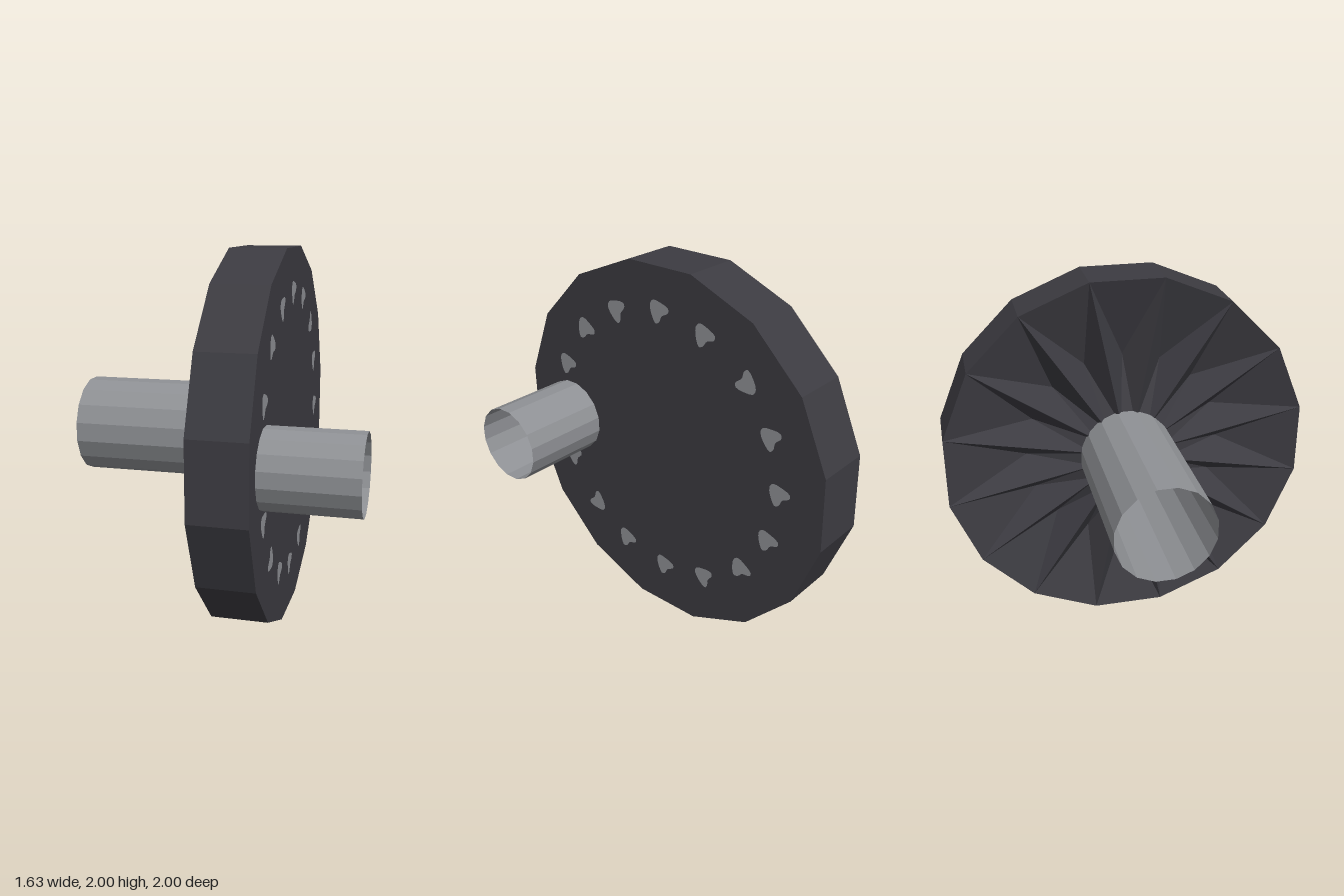
import * as THREE from 'three';

const SIDES = 16;
const STEP = (Math.PI * 2) / SIDES;
const RIM = 1 / Math.cos(STEP / 2);
const BACK = 0.035, FRONT = 0.333;

export function createModel() {
  const group = new THREE.Group();
  const darkIron = new THREE.MeshStandardMaterial({ color: 0x3c3b41, flatShading: true, side: THREE.DoubleSide });
  darkIron.name = 'darkIron';
  const steel = new THREE.MeshStandardMaterial({ color: 0x8f9195, flatShading: true, side: THREE.DoubleSide });
  steel.name = 'steel';

  const add = (name, geometry, material, x = 0, y = 1, z = 0) => {
    const mesh = new THREE.Mesh(geometry, material);
    mesh.name = name;
    mesh.position.set(x, y, z);
    group.add(mesh);
    return mesh;
  };

  // Open sixteen-sided tube along x, with a flat facing up
  const tube = (name, radius, x0, x1, y, z, material) => {
    const geo = new THREE.CylinderGeometry(radius, radius, x1 - x0, SIDES, 1, true, STEP / 2);
    geo.rotateZ(-Math.PI / 2);
    return add(name, geo, material, (x0 + x1) / 2, y, z);
  };

  tube('wheelRim', RIM, BACK, FRONT, 1, 0, darkIron);
  tube('driveShaft', 0.261, -0.815, 0.2, 1.004, -0.004, steel);
  tube('crankPin', 0.204, FRONT, 0.813, 1, 0.684, steel);

  // Flat outer face of the wheel
  const face = new THREE.CircleGeometry(RIM, SIDES, STEP / 2);
  face.rotateY(Math.PI / 2);
  add('wheelFace', face, darkIron, FRONT);

  // Pleated inner face: sharp ridges to each rim corner, hollows between them
  const polar = (r, a, x) => [x, r * Math.cos(a), r * Math.sin(a)];
  const points = [];
  for (let i = 0; i < SIDES; i++) {
    const a = (i + 0.5) * STEP, b = a + STEP;
    const v0 = polar(RIM, a, BACK), v1 = polar(RIM, b, BACK);
    const h0 = polar(0.2, a, BACK), h1 = polar(0.2, b, BACK);
    const p = polar(0.55, (a + b) / 2, 0.19);
    points.push(...v1, ...v0, ...p, ...v0, ...h0, ...p, ...v1, ...p, ...h1, ...h0, ...h1, ...p);
  }
  const pleats = new THREE.BufferGeometry();
  pleats.setAttribute('position', new THREE.Float32BufferAttribute(points, 3));
  pleats.computeVertexNormals();
  add('pleatedBack', pleats, darkIron);

  // Ring of small rounded, three-lobed spots on the outer face
  const outline = [[-0.06, 0.03], [-0.04, 0.056], [0.005, 0.052], [0.06, 0.03], [0.058, 0.006],
    [0.016, -0.018], [0, -0.05], [-0.025, -0.064], [-0.048, -0.03]];
  const curve = new THREE.CatmullRomCurve3(outline.map(([u, v]) => new THREE.Vector3(u, v, 0)), true);
  const spot = new THREE.ShapeGeometry(new THREE.Shape(curve.getPoints(24).map((p) => new THREE.Vector2(p.x, p.y))));
  const turns = [0, 10, 170, -15, 0, 6, 20, -23];
  const spots = new THREE.Group();
  spots.name = 'spots';
  for (let i = 0; i < SIDES; i++) {
    const geo = spot.clone();
    geo.rotateZ(-THREE.MathUtils.degToRad(turns[i % 8]));
    geo.rotateY(Math.PI / 2);
    const mesh = new THREE.Mesh(geo, steel);
    mesh.name = 'spot';
    mesh.position.set(FRONT + 0.003, 1.015 + 0.755 * Math.cos(i * STEP), 0.003 - 0.755 * Math.sin(i * STEP));
    spots.add(mesh);
  }
  group.add(spots);
  return group;
}
